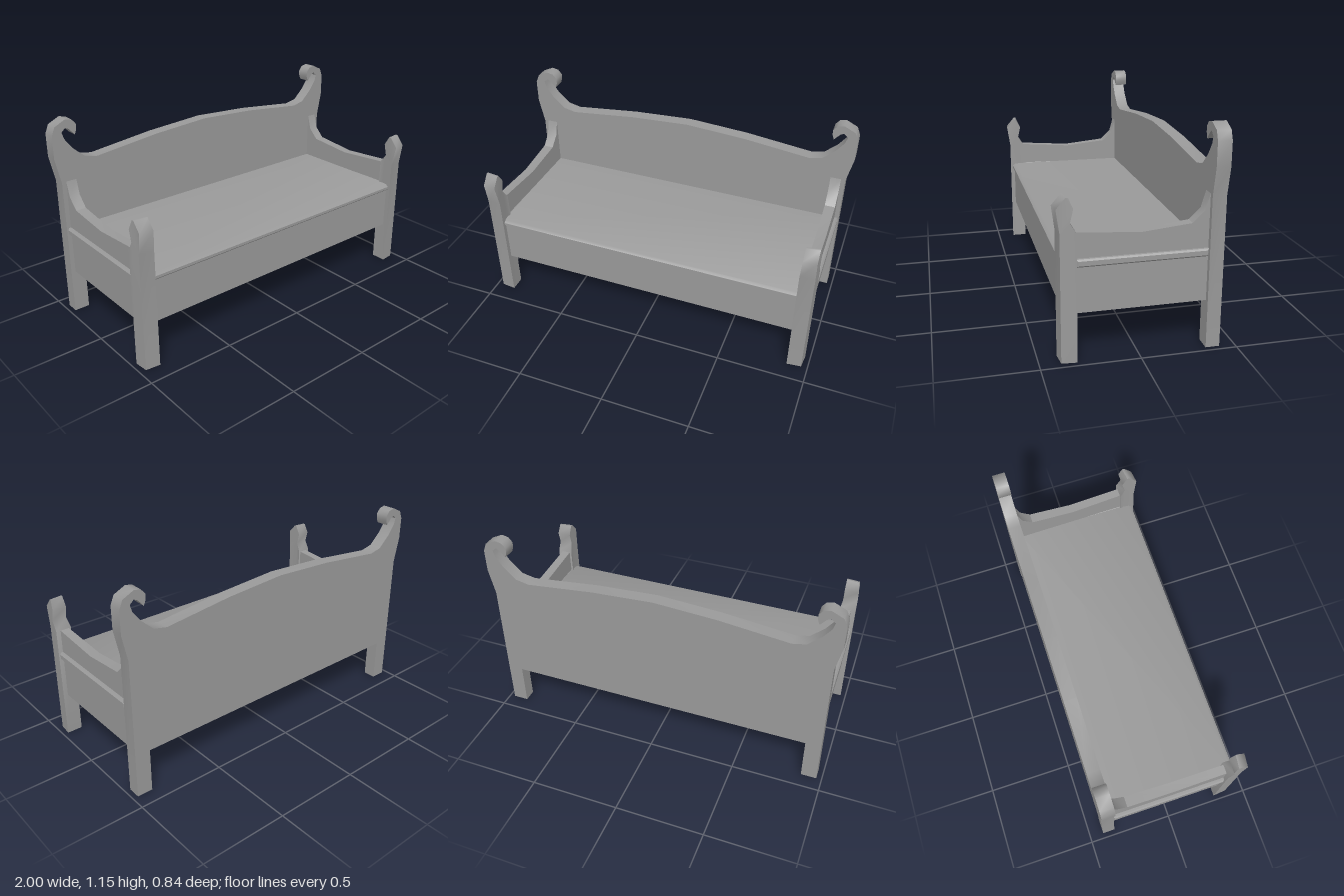
import * as THREE from 'three';
import { toCreasedNormals } from 'three/addons/utils/BufferGeometryUtils.js';

const material = new THREE.MeshStandardMaterial({ color: 0x999999, side: THREE.DoubleSide });

const outline = (points) => new THREE.Shape(points.map(([a, b]) => new THREE.Vector2(a, b)));

// Extrudes an outline given as [z, y] along x, from x0 to x1
function acrossX(points, x0, x1, bevel = 0) {
  const geometry = new THREE.ExtrudeGeometry(outline(points), {
    depth: x1 - x0 - 2 * bevel, bevelEnabled: bevel > 0, bevelSegments: 1,
    bevelSize: bevel, bevelThickness: bevel, bevelOffset: -bevel,
  });
  geometry.rotateY(-Math.PI / 2);
  geometry.translate(x1 - bevel, 0, 0);
  return geometry;
}

// Leaves the feet open by dropping the triangles that lie on the floor
function openFeet(geometry) {
  const { array } = geometry.attributes.position;
  const kept = [];
  for (let i = 0; i < array.length; i += 9) {
    if (Math.max(array[i + 1], array[i + 4], array[i + 7]) > 0.001) kept.push(...array.slice(i, i + 9));
  }
  return new THREE.BufferGeometry()
    .setAttribute('position', new THREE.Float32BufferAttribute(kept, 3));
}

export function createModel() {
  const bench = new THREE.Group();
  bench.name = 'settleBench';
  // Gentle bends are smooth, corners stay sharp
  const add = (name, geometry, crease = 0.6) => {
    const mesh = new THREE.Mesh(toCreasedNormals(geometry, crease), material);
    mesh.name = name;
    bench.add(mesh);
  };

  // Back board with its legs and scrolled ears: left half, then mirrored
  const half = [
    [0.882, 0.25], [0.882, 0], [0.97, 0], [0.97, 0.8], [1, 0.945], [1, 1.072],
    [0.98, 1.12], [0.917, 1.15], [0.879, 1.142], [0.857, 1.115], [0.857, 1.085],
    [0.868, 1.056], [0.9, 1.094], [0.92, 1.104], [0.943, 1.083], [0.932, 1.045],
    [0.89, 0.987], [0.82, 0.922], [0.745, 0.906], [0.355, 0.949],
  ];
  const mirrored = half.map(([x, y]) => [-x, y]).reverse();
  const back = new THREE.ExtrudeGeometry(outline([...half, [0, 0.97], ...mirrored]),
    { depth: 0.073, bevelEnabled: false });
  add('backBoard', openFeet(back.translate(0, 0, -0.418)), 1);

  // Front leg profile with a pointed, forward-leaning head
  const legProfile = [
    [0.314, 0], [0.402, 0], [0.402, 0.665], [0.419, 0.784], [0.373, 0.837],
    [0.36, 0.837], [0.329, 0.784], [0.345, 0.716], [0.314, 0.665],
  ];
  const armProfile = [
    [-0.345, 0.495], [0.315, 0.495], [0.315, 0.662], [0, 0.637],
    [-0.26, 0.662], [-0.32, 0.72], [-0.345, 0.805],
  ];
  // The lower rail is rebated on its inside, just under the seat
  const railSection = [
    [0.888, 0.25], [0.945, 0.25], [0.945, 0.496], [0.925, 0.496], [0.925, 0.435], [0.888, 0.435],
  ];
  const ledgeProfile = [[-0.343, 0.49], [0.314, 0.49], [0.314, 0.53], [-0.343, 0.53]];

  for (const s of [-1, 1]) {
    const side = s > 0 ? 'left' : 'right';
    const span = (inner, outer) => (s > 0 ? [inner, outer] : [-outer, -inner]);

    // The front face slants back towards the outside and the head is narrower
    const leg = acrossX(legProfile, ...span(0.882, 0.971));
    const p = leg.attributes.position;
    for (let i = 0; i < p.count; i++) {
      const outer = Math.abs(p.getX(i)) > 0.95;
      if (outer && p.getZ(i) > 0.35) {
        p.setX(i, p.getX(i) - s * 0.007);
        p.setZ(i, p.getZ(i) - 0.009);
      }
      if (!outer && p.getY(i) > 0.7) p.setX(i, s * 0.89);
    }
    add(side + 'FrontLeg', openFeet(leg), 0.95);

    // Arm panel, a little thicker towards the back
    const arm = acrossX(armProfile, ...span(0.89, 0.945));
    const a = arm.attributes.position;
    for (let i = 0; i < a.count; i++) {
      if (Math.abs(a.getX(i)) < 0.9) a.setX(i, s * (0.89 + 0.015 * a.getZ(i)));
    }
    add(side + 'ArmPanel', arm);

    const rail = new THREE.ExtrudeGeometry(outline(railSection.map(([x, y]) => [s * x, y])),
      { depth: 0.66, bevelEnabled: false });
    add(side + 'LowerRail', rail.translate(0, 0, -0.345));
    add(side + 'SeatEnd', acrossX(ledgeProfile, ...span(0.885, 0.966), 0.008));
  }

  // Seat board with a chamfered front lip
  add('seat', acrossX([
    [-0.345, 0.49], [0.376, 0.49], [0.388, 0.501], [0.388, 0.516],
    [0.37, 0.528], [-0.345, 0.528],
  ], -0.893, 0.893));

  // Front apron, rebated like the side rails
  add('frontApron', acrossX([
    [0.318, 0.25], [0.376, 0.25], [0.376, 0.496], [0.355, 0.496], [0.355, 0.435], [0.318, 0.435],
  ], -0.89, 0.89));

  return bench;
}
